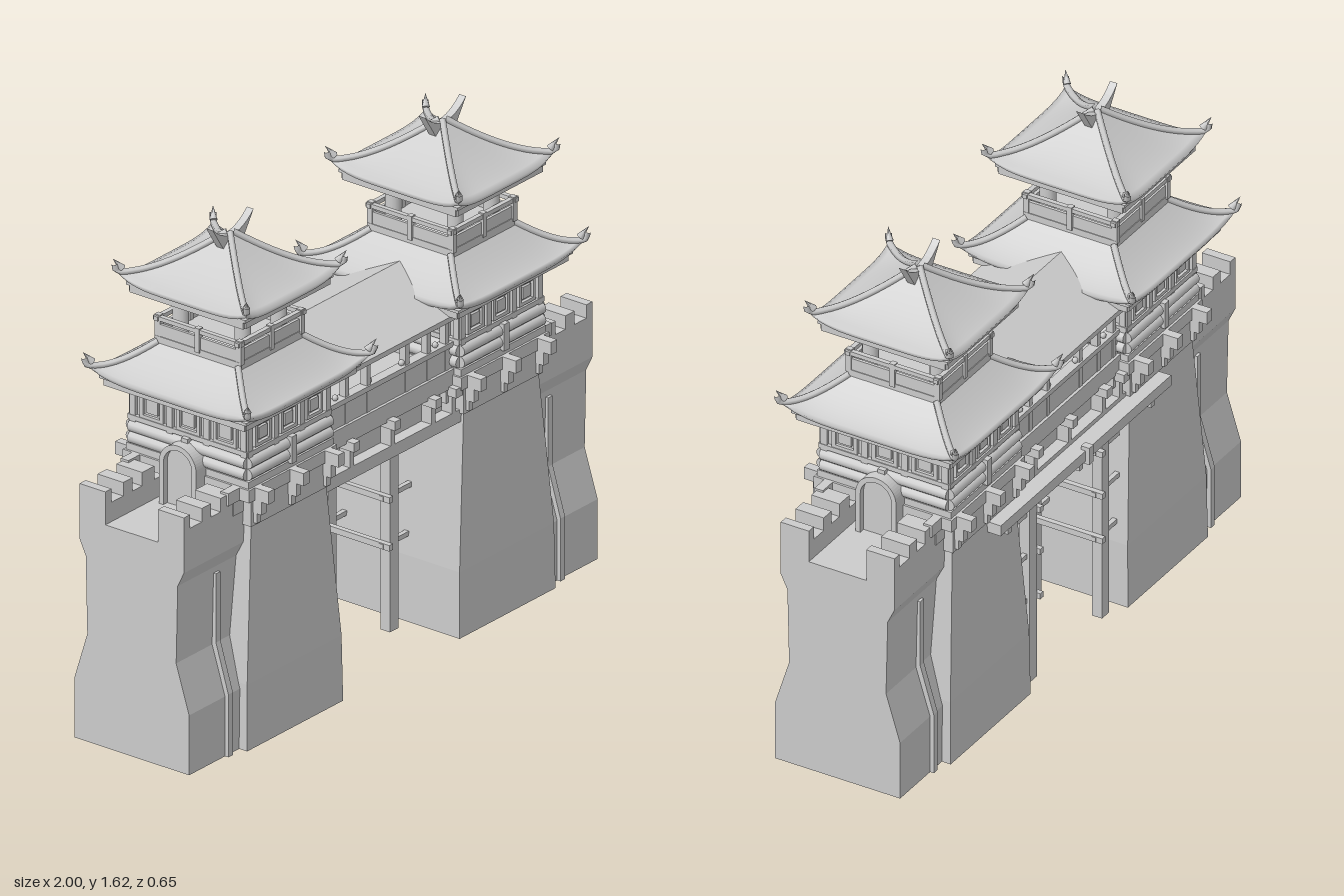
import * as THREE from 'three';

const mat = new THREE.MeshStandardMaterial({ color: 0xcccccc });
const flat = new THREE.MeshStandardMaterial({ color: 0xcccccc, flatShading: true, side: THREE.DoubleSide });
const thin = new THREE.MeshStandardMaterial({ color: 0xcccccc, side: THREE.DoubleSide });

function add(parent, name, geo, x = 0, y = 0, z = 0, m = mat) {
  const mesh = new THREE.Mesh(geo, m);
  mesh.name = name;
  mesh.position.set(x, y, z);
  parent.add(mesh);
  return mesh;
}

// Box given by its bottom and top heights
function box(parent, name, w, y0, y1, d, x = 0, z = 0) {
  return add(parent, name, new THREE.BoxGeometry(w, y1 - y0, d), x, (y0 + y1) / 2, z);
}

// Shell through rectangular rings [y, halfX, halfZ], open below, closed on top
function shell(rings) {
  const pos = [], idx = [];
  for (const [y, hx, hz] of rings) pos.push(-hx, y, hz, hx, y, hz, hx, y, -hz, -hx, y, -hz);
  for (let r = 0; r < rings.length - 1; r++) {
    for (let i = 0; i < 4; i++) {
      const a = r * 4 + i, b = r * 4 + (i + 1) % 4;
      idx.push(a, b, b + 4, a, b + 4, a + 4);
    }
  }
  const t = (rings.length - 1) * 4;
  idx.push(t, t + 1, t + 2, t, t + 2, t + 3);
  const g = new THREE.BufferGeometry();
  g.setAttribute('position', new THREE.Float32BufferAttribute(pos, 3));
  g.setIndex(idx);
  g.computeVertexNormals();
  return g;
}

// Swept hip roof: eave half sizes, top half size, eave and top heights
function hipRoof(parent, name, ex, ez, top, y0, y1) {
  const roof = new THREE.Group();
  roof.name = name;
  parent.add(roof);
  const at = (u, t, side) => {
    const hx = ex + (top - ex) * t, hz = ez + (top - ez) * t;
    const y = y0 + (y1 - y0) * Math.pow(t, 1.4) + 0.025 * Math.pow(Math.abs(u), 5) * (1 - t) ** 3;
    const p = side % 2 ? [hx, -u * hz] : [u * hx, hz];
    const s = side > 1 ? -1 : 1;
    return [p[0] * s, y, p[1] * s];
  };
  const N = 16, M = 10;
  for (let side = 0; side < 4; side++) {
    const pos = [], idx = [];
    for (let j = -1; j <= M; j++) {
      for (let i = 0; i <= N; i++) {
        const p = at(i / N * 2 - 1, Math.max(j, 0) / M, side);
        if (j < 0) { p[0] *= 0.96; p[1] -= 0.018; p[2] *= 0.96; }
        pos.push(...p);
      }
    }
    for (let j = 0; j <= M; j++) {
      for (let i = 0; i < N; i++) {
        const a = j * (N + 1) + i, c = a + N + 1;
        idx.push(a, a + 1, c + 1, a, c + 1, c);
      }
    }
    const g = new THREE.BufferGeometry();
    g.setAttribute('position', new THREE.Float32BufferAttribute(pos, 3));
    g.setIndex(idx);
    g.computeVertexNormals();
    add(roof, 'roofSlope', g, 0, 0, 0, thin);

    // Hip rib ending in an upturned tip
    const pts = [];
    for (let k = 0; k <= 6; k++) pts.push(new THREE.Vector3(...at(1, 1 - k / 6, side)));
    const tip = pts[6].clone();
    tip.set(tip.x * 1.02, tip.y + 0.025, tip.z * 1.02);
    pts.push(tip);
    const rib = new THREE.CatmullRomCurve3(pts);
    add(roof, 'hipRib', new THREE.TubeGeometry(rib, 20, 0.011, 6), 0, 0.003, 0);
    const horn = add(roof, 'ribTip', new THREE.ConeGeometry(0.013, 0.045, 6), tip.x * 0.98, tip.y + 0.004, tip.z * 0.98);
    horn.rotation.set(Math.sign(tip.z) * 0.5, 0, -Math.sign(tip.x) * 0.5);
  }
  // Soffit and its grid of beams
  box(roof, 'soffit', ex * 1.84, y0 - 0.018, y0 - 0.008, ez * 1.84);
  for (const k of [-0.86, -0.43, 0, 0.43, 0.86]) {
    box(roof, 'soffitBeamZ', 0.022, y0 - 0.042, y0 - 0.016, ez * 1.76, k * ex);
    box(roof, 'soffitBeamX', ex * 1.76, y0 - 0.04, y0 - 0.016, 0.022, 0, k * ez);
  }
}

// Square window: frame with a small raised centre, facing +z
function windowFrame(parent, x, y, z, s) {
  const f = new THREE.Shape([[-1, -1], [1, -1], [1, 1], [-1, 1]].map(p => new THREE.Vector2(p[0] * s, p[1] * s)));
  const k = s * 0.72;
  f.holes.push(new THREE.Path([[-1, -1], [-1, 1], [1, 1], [1, -1]].map(p => new THREE.Vector2(p[0] * k, p[1] * k))));
  add(parent, 'windowFrame', new THREE.ExtrudeGeometry(f, { depth: 0.012, bevelEnabled: false }), x, y, z);
  box(parent, 'windowPanel', s, y - s / 2, y + s / 2, 0.012, x, z + 0.004);
}

// One face of the house, half width w, at distance d, facing +z
function houseFace(parent, w, d, angle, hasDoor) {
  const face = new THREE.Group();
  face.name = 'houseFace';
  face.rotation.y = angle;
  parent.add(face);
  for (const k of [-1, 0, 1]) windowFrame(face, k * w * 0.66, 1.025, d - 0.003, w * 0.21);
  for (const k of [-1, -0.33, 0.33, 1]) box(face, 'wallPost', 0.022, 0.96, 1.09, 0.02, k * w, d);
  box(face, 'wallRail', w * 2 + 0.03, 0.966, 0.982, 0.024, 0, d);
  box(face, 'wallPlate', w * 2 + 0.03, 1.07, 1.09, 0.024, 0, d);
  for (const y of [0.905, 0.943]) {
    const log = add(face, 'wallLog', new THREE.CylinderGeometry(0.019, 0.019, w * 2 + 0.02, 12), 0, y, d + 0.004);
    log.rotation.z = Math.PI / 2;
  }
  box(face, 'logPost', 0.025, 0.88, 0.97, 0.04, 0, d + 0.008);
  // Stepped brackets below the house
  for (const k of [-0.9, 0, 0.9]) {
    if (hasDoor && k === 0) continue;
    box(face, 'bracketBeam', 0.03, 0.82, 0.862, 0.1, k * w, d + 0.025);
    box(face, 'bracketStep', 0.024, 0.775, 0.82, 0.06, k * w, d + 0.015);
    box(face, 'bracketFoot', 0.018, 0.74, 0.78, 0.03, k * w, d + 0.01);
  }
  if (hasDoor) {
    // Arched door onto the wall walk
    const arch = (r) => new THREE.Shape().moveTo(-r, 0.745).lineTo(r, 0.745).lineTo(r, 0.885).absarc(0, 0.885, r, 0, Math.PI).lineTo(-r, 0.745);
    const frame = arch(0.072);
    frame.holes.push(arch(0.055));
    add(face, 'doorFrame', new THREE.ExtrudeGeometry(frame, { depth: 0.06, bevelEnabled: false }), 0, 0, d);
    add(face, 'door', new THREE.ExtrudeGeometry(arch(0.057), { depth: 0.04, bevelEnabled: false }), 0, 0, d);
  }
}

function buildTower() {
  const t = new THREE.Group();
  t.name = 'tower';
  // Tapered base and platform
  add(t, 'towerBase', shell([[0, 0.235, 0.253], [0.22, 0.231, 0.25], [0.73, 0.184, 0.228]]), 0, 0, 0, flat);
  box(t, 'baseCap', 0.385, 0.73, 0.82, 0.47);
  box(t, 'platform', 0.43, 0.82, 0.862, 0.49);
  box(t, 'platformStep', 0.415, 0.862, 0.885, 0.475);
  // House
  box(t, 'houseBody', 0.39, 0.88, 1.12, 0.44);
  houseFace(t, 0.19, 0.222, 0, false);
  houseFace(t, 0.19, 0.222, Math.PI, false);
  houseFace(t, 0.215, 0.196, Math.PI / 2, true);
  houseFace(t, 0.215, 0.196, -Math.PI / 2, false);
  hipRoof(t, 'lowerRoof', 0.305, 0.31, 0.155, 1.13, 1.225);
  // Gallery with railing and columns
  box(t, 'galleryDeck', 0.315, 1.2, 1.245, 0.325);
  for (const s of [-1, 1]) {
    box(t, 'railX', 0.33, 1.298, 1.312, 0.016, 0, s * 0.157);
    box(t, 'railZ', 0.016, 1.298, 1.312, 0.34, s * 0.152);
    box(t, 'railPanelX', 0.3, 1.24, 1.285, 0.01, 0, s * 0.155);
    box(t, 'railPanelZ', 0.01, 1.24, 1.285, 0.31, s * 0.15);
    for (const k of [-1, 0, 1]) {
      box(t, 'railPostX', 0.018, 1.235, 1.316, 0.02, k * 0.148, s * 0.157);
      if (k === 0) box(t, 'railPostZ', 0.02, 1.235, 1.316, 0.018, s * 0.152, 0);
    }
    for (const k of [-1, 1]) {
      add(t, 'column', new THREE.CylinderGeometry(0.027, 0.027, 0.18, 16), s * 0.088, 1.325, k * 0.12).scale.x = 0.8;
    }
  }
  hipRoof(t, 'upperRoof', 0.235, 0.25, 0.006, 1.435, 1.58);
  // Crescent ridge ornament
  const crest = new THREE.Shape().moveTo(-0.035, 1.525).lineTo(0.035, 1.525)
    .quadraticCurveTo(0.065, 1.57, 0.1, 1.625).quadraticCurveTo(0, 1.53, -0.1, 1.625)
    .quadraticCurveTo(-0.065, 1.57, -0.035, 1.525);
  add(t, 'ridgeCrest', new THREE.ExtrudeGeometry(crest, { depth: 0.026, bevelEnabled: false }), 0, 0, -0.013);
  return t;
}

// Side wall with battered foot, parapets and merlons, outer end at x = 1
function buildWing() {
  const w = new THREE.Group();
  w.name = 'sideWall';
  add(w, 'wallBody', shell([[0, 0.165, 0.222], [0.2, 0.165, 0.222], [0.36, 0.165, 0.172], [0.62, 0.165, 0.178],
    [0.67, 0.165, 0.202], [0.745, 0.165, 0.202]]), 0.835, 0, 0, flat);
  for (const s of [-1, 1]) {
    box(w, 'parapet', 0.33, 0.745, 0.81, 0.1, 0.835, s * 0.152);
    for (const [x, l] of [[0.985, 0.03], [0.89, 0.045], [0.79, 0.06]]) box(w, 'merlon', l, 0.81, 0.855, 0.1, x, s * 0.152);
  }
  add(w, 'buttress', shell([[0, 0.011, 0.235], [0.21, 0.011, 0.235], [0.37, 0.011, 0.187], [0.6, 0.011, 0.187]]), 0.813, 0, 0, flat);
  return w;
}

// Scaffold of posts and rungs beside the tower
function buildScaffold() {
  const g = new THREE.Group();
  g.name = 'scaffold';
  for (const z of [-0.2, 0.04]) {
    box(g, 'scaffoldPost', 0.042, 0, 0.72, 0.036, 0.212, z);
    for (const y of [0.29, 0.45, 0.6]) box(g, 'scaffoldTie', 0.14, y - 0.008, y + 0.008, 0.016, 0.24, z);
  }
  for (const y of [0.29, 0.45, 0.6]) box(g, 'scaffoldRung', 0.018, y - 0.01, y + 0.01, 0.3, 0.182, -0.08);
  return g;
}

function buildBridge() {
  const b = new THREE.Group();
  b.name = 'bridge';
  box(b, 'lowerDeck', 0.7, 0.7, 0.742, 0.44);
  box(b, 'bridgeBeam', 0.7, 0.742, 0.82, 0.36);
  box(b, 'bridgeDeck', 0.66, 0.82, 0.882, 0.42);
  for (const s of [-1, 1]) {
    for (const x of [-0.3, -0.2, 0, 0.2, 0.3]) {
      box(b, 'joist', 0.02, 0.742, 0.83, 0.05, x, s * 0.195);
      box(b, 'joistEnd', 0.03, 0.80, 0.83, 0.08, x, s * 0.2);
    }
    box(b, 'balustrade', 0.66, 0.88, 0.96, 0.02, 0, s * 0.19);
    box(b, 'handRail', 0.66, 0.955, 0.972, 0.035, 0, s * 0.19);
    box(b, 'topRail', 0.66, 1.065, 1.09, 0.035, 0, s * 0.19);
    for (const x of [-0.29, -0.2, -0.095, 0.095, 0.2, 0.29]) box(b, 'bridgePost', 0.018, 0.88, 1.08, 0.024, x, s * 0.19);
    for (const x of [-0.245, -0.08, 0.08, 0.245]) add(b, 'railKnob', new THREE.SphereGeometry(0.01, 8, 6), x, 0.98, s * 0.19);
  }
  // Gable roof, extruded along x
  const gable = new THREE.Shape([[-0.245, 1.07], [0, 1.165], [0.245, 1.07], [0.245, 1.087], [0, 1.182], [-0.245, 1.087]]
    .map(p => new THREE.Vector2(...p)));
  const roof = add(b, 'bridgeRoof', new THREE.ExtrudeGeometry(gable, { depth: 0.66, bevelEnabled: false }), -0.33, 0, 0);
  roof.rotation.y = Math.PI / 2;
  // Long rear plank on brackets
  box(b, 'rearPlank', 1, 0.69, 0.727, 0.06, 0, -0.247);
  for (const x of [-0.42, 0, 0.42]) box(b, 'plankBracket', 0.02, 0.652, 0.7, 0.05, x, -0.235);
  box(b, 'plankPeg', 0.025, 0.68, 0.74, 0.03, -0.01, -0.275);
  return b;
}

export function createModel() {
  const model = new THREE.Group();
  model.name = 'gatehouse';
  for (const s of [1, -1]) {
    const half = new THREE.Group();
    half.name = s > 0 ? 'leftHalf' : 'rightHalf';
    half.scale.x = s;
    const tower = buildTower();
    tower.position.x = 0.52;
    half.add(tower, buildWing(), buildScaffold());
    model.add(half);
  }
  model.add(buildBridge());
  return model;
}
